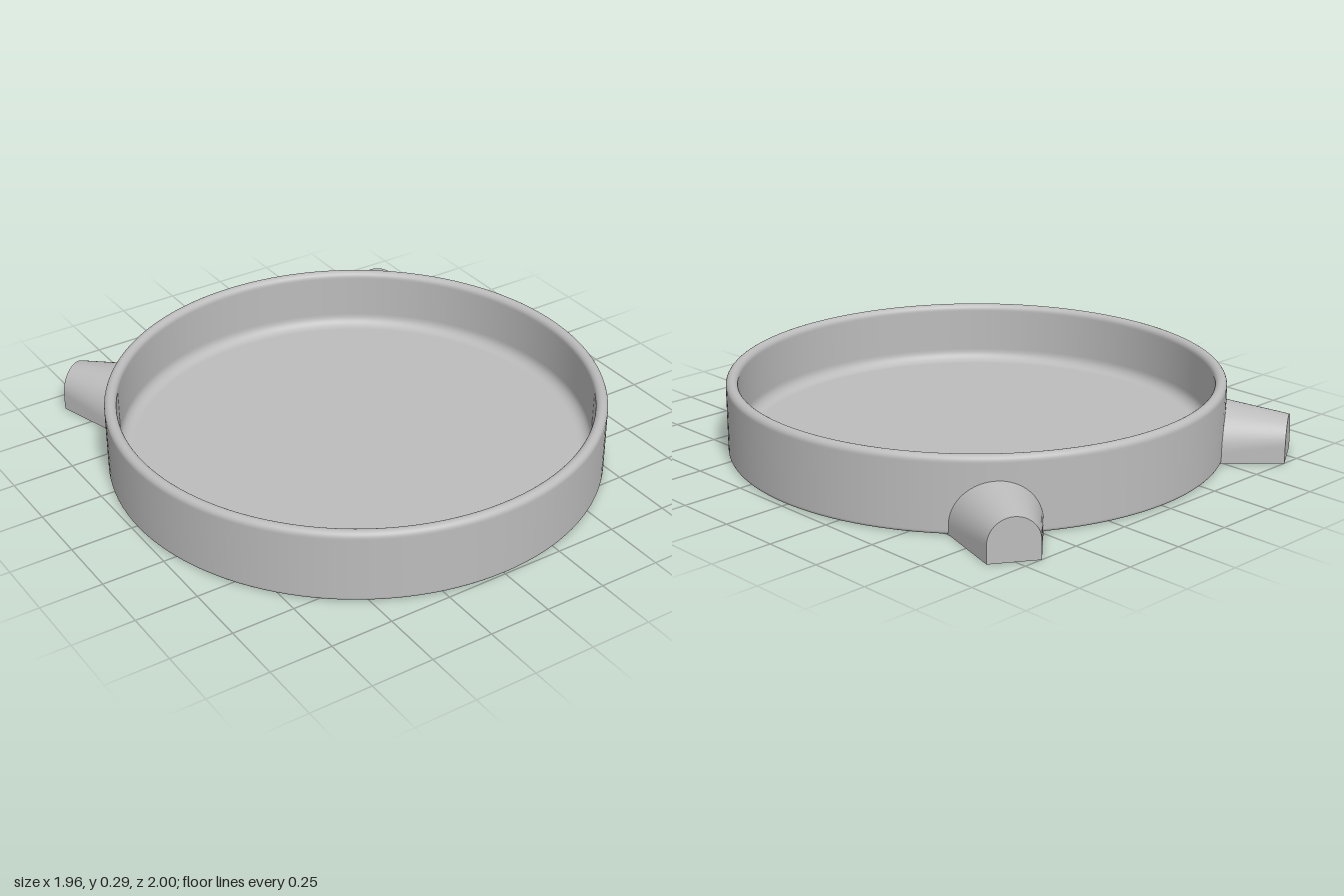
import * as THREE from 'three';

const R = 0.982, INNER = 0.935, HEIGHT = 0.295, FLOOR = 0.045, CZ = 0.016;

// Points along a quarter (or longer) arc, for the rounded corners of the profile
function arc(cx, cy, r, from, to, steps) {
  return Array.from({ length: steps + 1 }, (_, i) => {
    const a = THREE.MathUtils.degToRad(from + ((to - from) * i) / steps);
    return new THREE.Vector2(cx + r * Math.cos(a), cy + r * Math.sin(a));
  });
}

// Round dish: flat base, straight wall, fully rounded rim, filleted floor
function dishGeometry() {
  const rim = (R - INNER) / 2, foot = 0.012, fillet = 0.045;
  const p = (x, y) => new THREE.Vector2(x, y);
  const profile = [
    p(0, 0), p(R - foot - 0.004, 0),
    ...arc(R - foot, foot, foot, -90, 0, 5),
    p(R, foot + 0.004), p(R, HEIGHT - rim - 0.004),
    ...arc(R - rim, HEIGHT - rim, rim, 0, 180, 14),
    p(INNER, HEIGHT - rim - 0.004), p(INNER, FLOOR + fillet + 0.004),
    ...arc(INNER - fillet, FLOOR + fillet, fillet, 0, -90, 8),
    p(INNER - fillet - 0.004, FLOOR), p(0, FLOOR),
  ];
  return new THREE.LatheGeometry(profile, 128);
}

// Tapered arch-shaped foot; every edge line runs inward until it meets the wall
function footGeometries(side) {
  const tip = { x: 0.7525, z: -0.95 }, axis = { x: -0.53, z: 0.848 };
  const half = 0.0965, flare = 0.268, centre = 0.07, drop = -0.12;

  // u: sideways, v: height, both as functions of the distance s along the foot
  const at = (u, v, s) => {
    const w = u * (half + flare * s);
    return [tip.x + axis.x * s + axis.z * w, v(s), tip.z + axis.z * s - axis.x * w];
  };
  const edge = (u, v) => {
    const a = at(u, v, 0), b = at(u, v, 1);
    const dx = b[0] - a[0], dz = b[2] - a[2], ox = a[0], oz = a[2] - CZ;
    const A = dx * dx + dz * dz, B = ox * dx + oz * dz, C = ox * ox + oz * oz - 0.96 ** 2;
    return [a, at(u, v, (-B - Math.sqrt(B * B - A * C)) / A)];
  };

  const ground = () => 0;
  const arch = [edge(1, ground)];
  for (let i = 0; i <= 24; i++) {
    const t = (Math.PI * i) / 24;
    arch.push(edge(Math.cos(t), (s) => centre + drop * s + Math.sin(t) * (half + flare * s)));
  }
  arch.push(edge(-1, ground));
  const base = Array.from({ length: 13 }, (_, i) => edge(-1 + i / 6, ground));

  const build = (points, index) => {
    const g = new THREE.BufferGeometry();
    const pos = points.flatMap(([x, y, z]) => [x * side, y, z]);
    if (side < 0) {
      for (let i = 0; i < index.length; i += 3) {
        [index[i + 1], index[i + 2]] = [index[i + 2], index[i + 1]];
      }
    }
    g.setAttribute('position', new THREE.Float32BufferAttribute(pos, 3));
    g.setIndex(index);
    g.computeVertexNormals();
    return g;
  };
  const strip = (edges) => {
    const index = [];
    for (let i = 0; i < edges.length - 1; i++) {
      const o = 2 * i;
      index.push(o, o + 2, o + 1, o + 1, o + 2, o + 3);
    }
    return build(edges.flat(), index);
  };

  // End face as a fan around its middle
  const outline = arch.map((e) => e[0]);
  const fan = [];
  for (let i = 0; i < outline.length; i++) {
    fan.push(0, 1 + ((i + 1) % outline.length), 1 + i);
  }
  const end = build([at(0, () => centre, 0), ...outline], fan);
  return { Shell: strip(arch), Underside: strip(base), End: end };
}

export function createModel() {
  const model = new THREE.Group();
  model.name = 'dish';
  const grey = new THREE.MeshStandardMaterial({ color: 0xbcbcbc });
  grey.name = 'grey';

  const dish = new THREE.Mesh(dishGeometry(), grey);
  dish.name = 'roundTray';
  dish.position.z = CZ;
  model.add(dish);

  // Two feet at the back, mirrored
  for (const side of [1, -1]) {
    const foot = new THREE.Group();
    foot.name = side > 0 ? 'leftFoot' : 'rightFoot';
    for (const [part, geometry] of Object.entries(footGeometries(side))) {
      const mesh = new THREE.Mesh(geometry, grey);
      mesh.name = 'foot' + part;
      foot.add(mesh);
    }
    model.add(foot);
  }
  return model;
}
